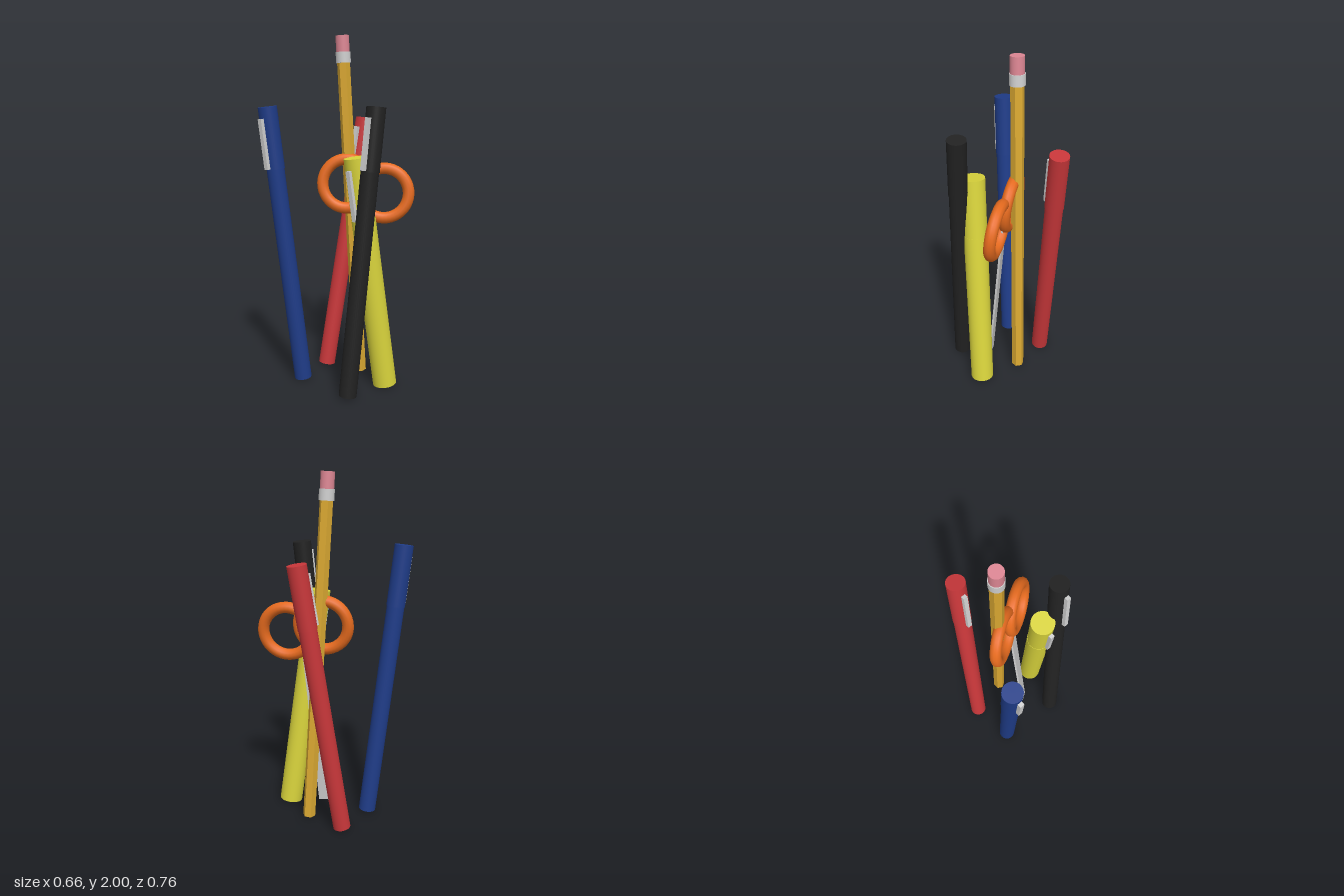
import * as THREE from 'three';

const mat = (name, color) => {
  const m = new THREE.MeshStandardMaterial({ color });
  m.name = name;
  return m;
};

const blue = mat('blue', 0x1f3c88);
const red = mat('red', 0xc8373a);
const black = mat('black', 0x222222);
const yellow = mat('yellow', 0xd9d43c);
const orange = mat('orange', 0xe56a1e);
const pencilYellow = mat('pencilYellow', 0xdba932);
const metal = mat('metal', 0xd0d0d0);
const pink = mat('pink', 0xde8794);

const UP = new THREE.Vector3(0, 1, 0);

function mesh(name, geometry, material, x = 0, y = 0, z = 0) {
  const m = new THREE.Mesh(geometry, material);
  m.name = name;
  m.position.set(x, y, z);
  return m;
}

// Group whose local y axis runs from one point to another
function leaning(name, from, to) {
  const g = new THREE.Group();
  g.name = name;
  const a = new THREE.Vector3(...from);
  const dir = new THREE.Vector3(...to).sub(a);
  g.userData.length = dir.length();
  g.position.copy(a);
  g.quaternion.setFromUnitVectors(UP, dir.normalize());
  return g;
}

// Upright cylinder between two local heights
function rod(name, r, y0, y1, material, sides = 32) {
  let geo = new THREE.CylinderGeometry(r, r, y1 - y0, sides);
  if (sides < 12) {
    geo = geo.toNonIndexed();
    geo.computeVertexNormals();
  }
  return mesh(name, geo, material, 0, (y0 + y1) / 2, 0);
}

// Pen: barrel, cap and a clip facing the front
function pen(name, from, to, rBody, rCap, material) {
  const g = leaning(name, from, to);
  const len = g.userData.length;
  const capLength = 0.345;
  g.add(
    rod('barrel', rBody, 0, len - capLength, material),
    rod('cap', rCap, len - capLength, len, material),
    mesh('clip', new THREE.BoxGeometry(0.025, 0.28, 0.026), metal, 0, len - 0.2, rCap + 0.007)
  );
  return g;
}

// Hexagonal pencil with ferrule and eraser
function pencil() {
  const g = leaning('pencil', [0.013, 0.01, -0.155], [-0.045, 1.997, -0.053]);
  const len = g.userData.length;
  g.add(
    rod('shaft', 0.037, 0, len - 0.14, pencilYellow, 6),
    rod('ferrule', 0.042, len - 0.15, len - 0.09, metal),
    rod('eraser', 0.038, len - 0.09, len, pink)
  );
  return g;
}

// Scissors standing blade down, with two overlapping ring handles
function scissors() {
  const g = new THREE.Group();
  g.name = 'scissors';
  const normal = new THREE.Vector3(0.53, 0.1, 0.84).normalize();
  for (const [name, p] of [
    ['upperHandle', [-0.012, 1.165, -0.058]],
    ['lowerHandle', [0.178, 1.115, -0.157]],
  ]) {
    const ring = mesh(name, new THREE.TorusGeometry(0.142, 0.033, 12, 40), orange, ...p);
    ring.quaternion.setFromUnitVectors(new THREE.Vector3(0, 0, 1), normal);
    g.add(ring);
  }
  const holder = leaning('bladeHolder', [0.072, 0.02, 0.036], [0.08, 1.08, -0.098]);
  const len = holder.userData.length;
  const blade = mesh('blade', new THREE.BoxGeometry(0.07, len, 0.012), metal, 0, len / 2, 0);
  blade.rotation.y = 0.58;
  holder.add(blade);
  g.add(holder);
  return g;
}

export function createModel() {
  const model = new THREE.Group();
  model.name = 'penCollection';
  model.add(
    pen('bluePen', [-0.181, 0.01, 0.148], [-0.277, 1.603, 0.313], 0.05, 0.053, blue),
    pen('redPen', [-0.219, 0.01, -0.115], [-0.092, 1.537, -0.328], 0.05, 0.053, red),
    pen('blackPen', [0.19, 0.01, 0.187], [0.272, 1.603, 0.05], 0.05, 0.053, black),
    pen('highlighter', [0.249, 0.01, -0.085], [0.153, 1.33, 0.074], 0.068, 0.0665, yellow),
    pencil(),
    scissors()
  );
  return model;
}
